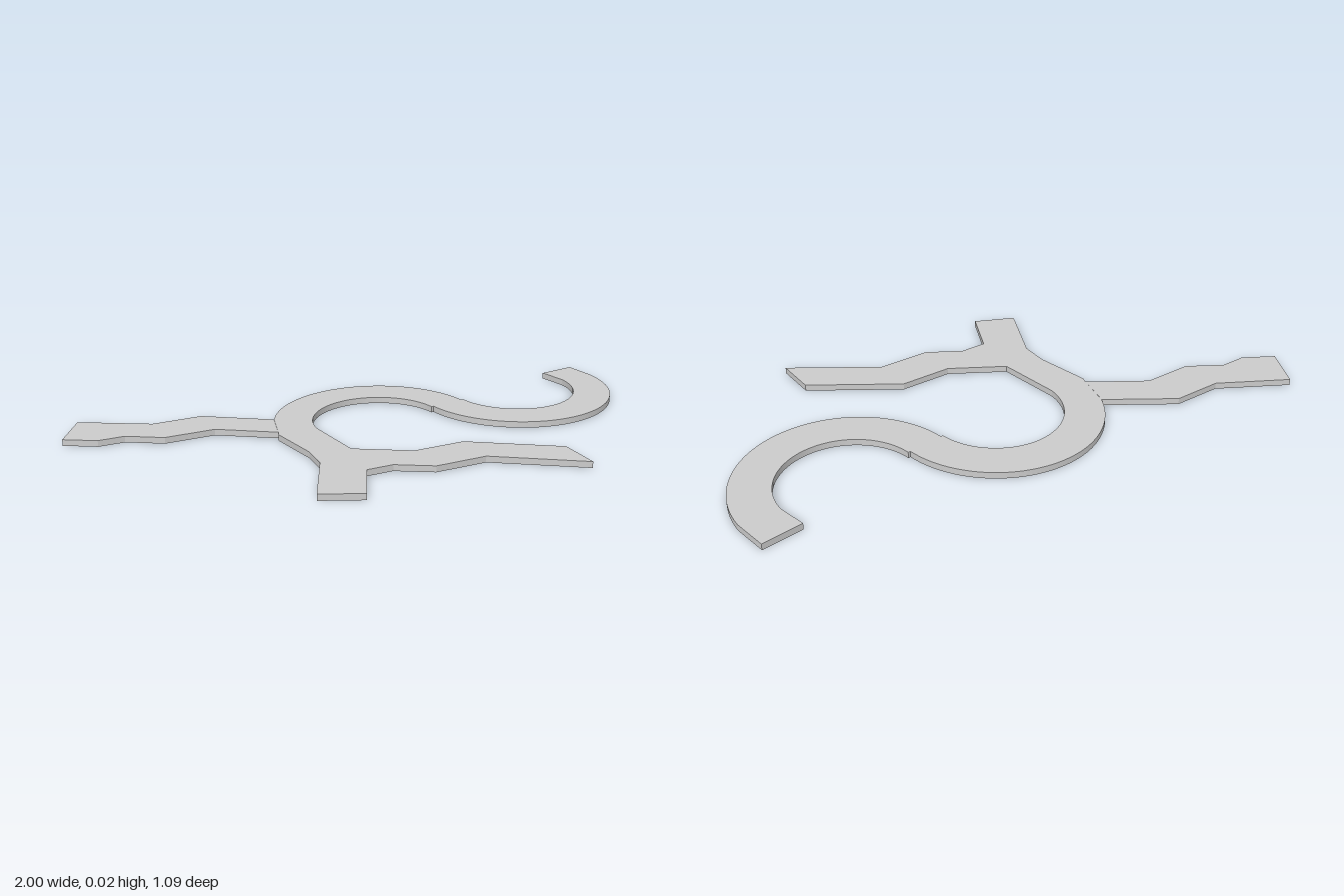
import * as THREE from 'three';
import { toCreasedNormals } from 'three/addons/utils/BufferGeometryUtils.js';

const THICKNESS = 0.022;
const material = new THREE.MeshStandardMaterial({ color: 0xcccccc });

// Extrude a plan outline (drawn as x, -z) upward from the ground
function slab(name, shape) {
  const geo = new THREE.ExtrudeGeometry(shape, { depth: THICKNESS, bevelEnabled: false, curveSegments: 36 });
  geo.rotateX(-Math.PI / 2);
  const mesh = new THREE.Mesh(toCreasedNormals(geo, 0.2), material);
  mesh.name = name;
  return mesh;
}

// Continue a shape through a list of [x, z] plan points
function lines(shape, points) {
  for (const [x, z] of points) shape.lineTo(x, -z);
}

function polygon(points) {
  return new THREE.Shape(points.map(([x, z]) => new THREE.Vector2(x, -z)));
}

export function createModel() {
  const group = new THREE.Group();
  group.name = 'windingPath';

  // Main path: two opposing bends joined where their circles touch
  const inner = 0.23, outer = 0.365;
  const a = new THREE.Vector2(0.033, 0.112);
  const b = new THREE.Vector2(0.632, 0.188);
  const joint = b.clone().sub(a).angle();
  const main = new THREE.Shape();
  main.moveTo(-0.297, 0.27);
  main.absarc(a.x, a.y, outer, Math.atan2(0.27 - a.y, -0.297 - a.x), joint, true);
  main.absarc(b.x, b.y, inner, joint + Math.PI, Math.PI * 2, false);
  lines(main, [[0.842, -0.291], [0.981, -0.307]]);
  main.absarc(b.x, b.y, outer, 0, joint - Math.PI, true);
  main.absarc(a.x, a.y, inner, joint, Math.PI * 0.98, false);
  lines(main, [
    [-0.198, -0.14], [-0.171, 0.099], [-0.203, 0.283], [-0.281, 0.447], [-0.417, 0.385],
    [-0.31, 0.163], [-0.305, 0.067], [-0.337, -0.126], [-0.329, -0.147],
  ]);
  main.closePath();
  group.add(slab('mainPath', main));

  // Kinked side branches, each sharing one edge with the main path
  group.add(slab('backBranch', polygon([
    [-0.297, -0.27], [-0.513, -0.417], [-0.688, -0.417], [-0.917, -0.549], [-1, -0.404],
    [-0.896, -0.342], [-0.805, -0.342], [-0.688, -0.27], [-0.513, -0.27], [-0.329, -0.147],
  ])));
  group.add(slab('frontBranch', polygon([
    [-0.171, 0.099], [0.007, 0.207], [0.19, 0.207], [0.47, 0.397], [0.47, 0.545],
    [0.19, 0.353], [0.007, 0.353], [-0.11, 0.283], [-0.203, 0.283],
  ])));

  return group;
}
